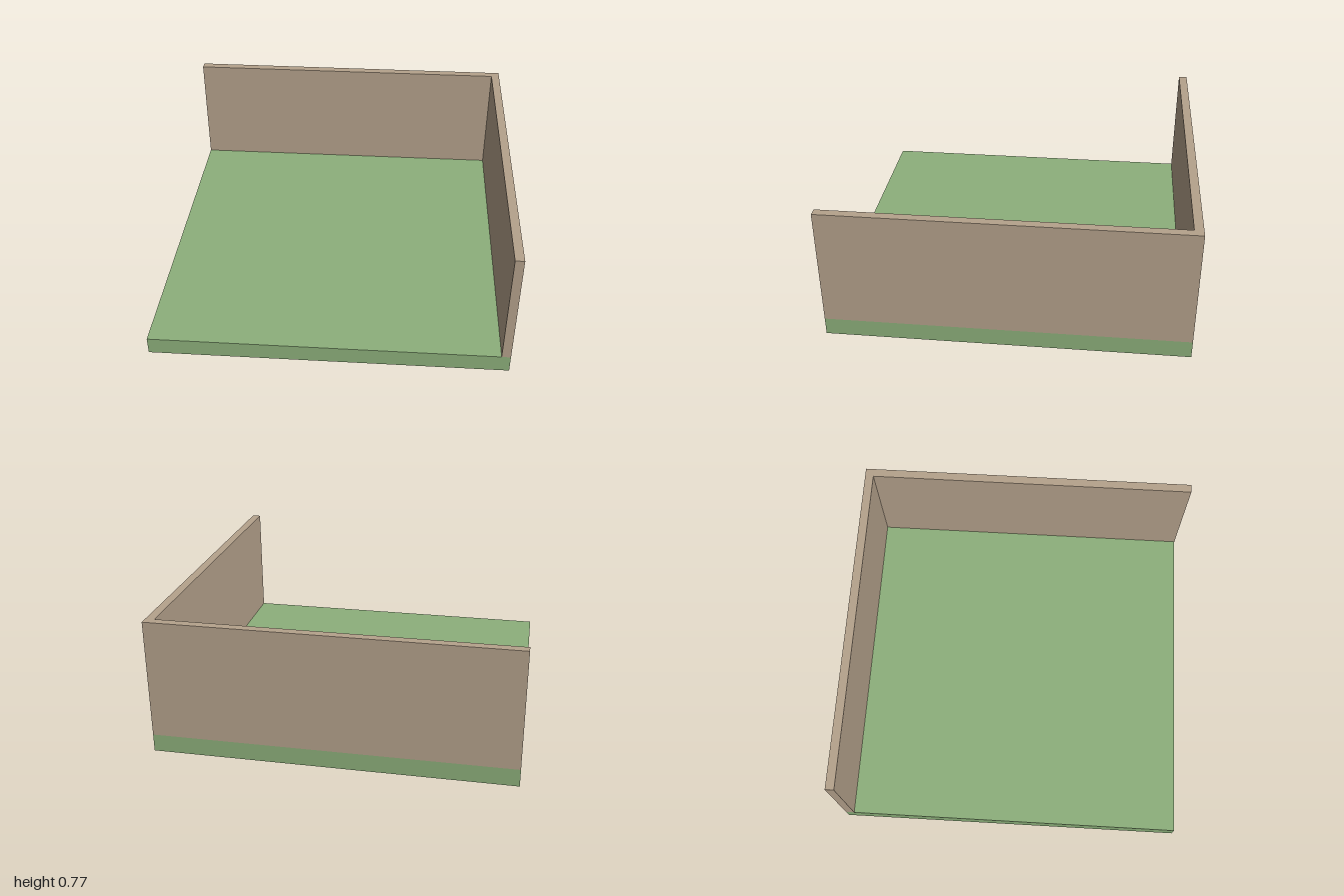
import * as THREE from 'three';

const BASE_HEIGHT = 0.1;
const WALL_HEIGHT = 0.67;
const WALL_THICKNESS = 0.05;

export function createModel() {
  const group = new THREE.Group();
  group.name = 'corner';

  const grass = new THREE.MeshStandardMaterial({ color: 0x8db07b });
  grass.name = 'grass green';
  const plaster = new THREE.MeshStandardMaterial({ color: 0xb5a28c });
  plaster.name = 'plaster tan';

  // Square ground slab
  const floor = new THREE.Mesh(new THREE.BoxGeometry(2, BASE_HEIGHT, 2), grass);
  floor.name = 'floor';
  floor.position.y = BASE_HEIGHT / 2;
  group.add(floor);

  // L-shaped wall along the back and left edges, drawn in plan (shape y = -z)
  const inner = 1 - WALL_THICKNESS;
  const plan = new THREE.Shape([
    new THREE.Vector2(-1, 1),
    new THREE.Vector2(-1, inner),
    new THREE.Vector2(inner, inner),
    new THREE.Vector2(inner, -1),
    new THREE.Vector2(1, -1),
    new THREE.Vector2(1, 1),
  ]);
  const wallGeometry = new THREE.ExtrudeGeometry(plan, { depth: WALL_HEIGHT, bevelEnabled: false });
  wallGeometry.rotateX(-Math.PI / 2);
  const walls = new THREE.Mesh(wallGeometry, plaster);
  walls.name = 'cornerWalls';
  walls.position.y = BASE_HEIGHT;
  group.add(walls);

  return group;
}
